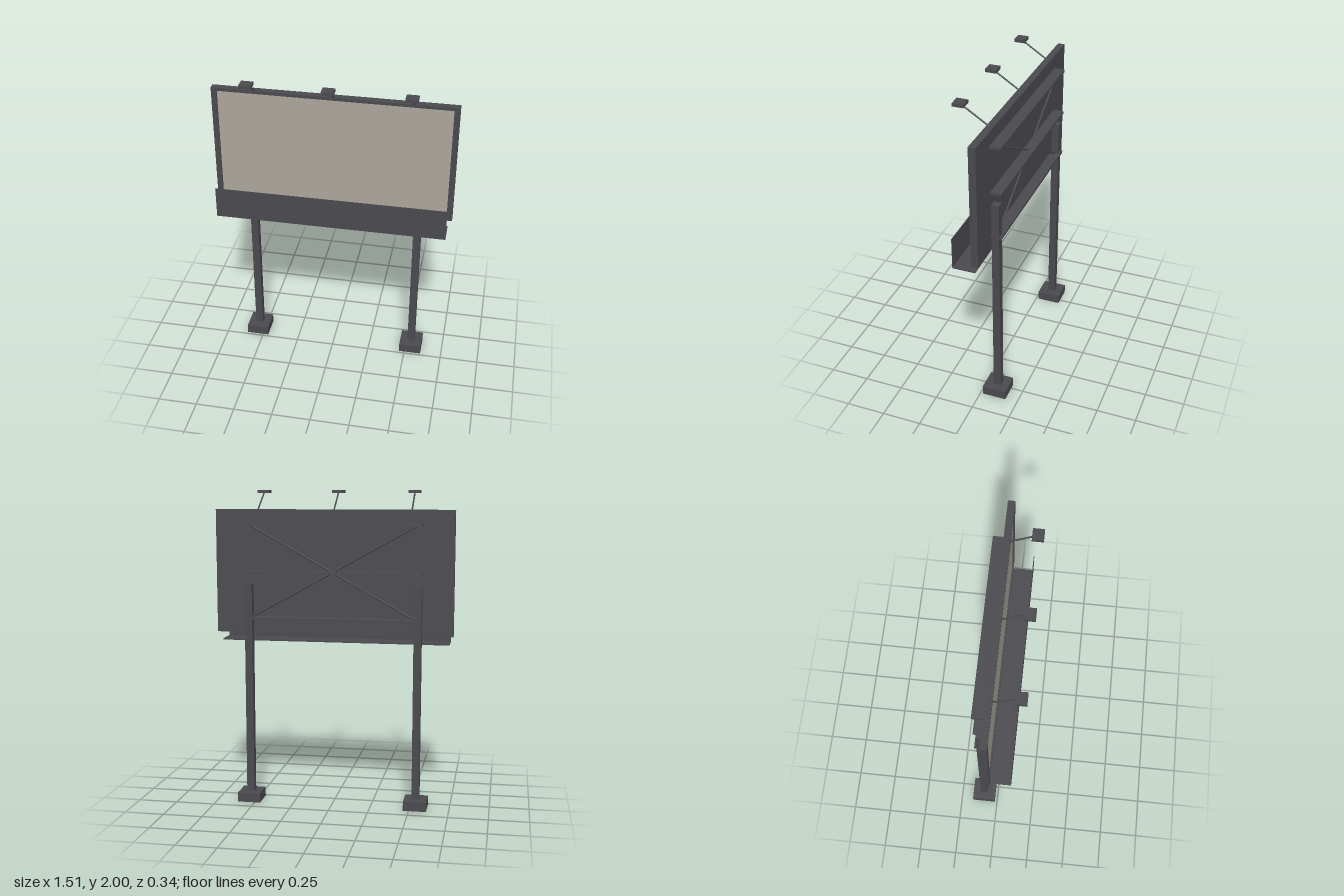
import * as THREE from 'three';

export function createModel() {
  const model = new THREE.Group();
  model.name = 'billboard';
  const steel = new THREE.MeshStandardMaterial({ color: 0x4a4a4f });
  steel.name = 'dark steel';
  const poster = new THREE.MeshStandardMaterial({ color: 0xaba69c });
  poster.name = 'blank poster';

  // Box given by its low and high limits on each axis
  function box(name, [x0, x1], [y0, y1], [z0, z1], material = steel) {
    const mesh = new THREE.Mesh(new THREE.BoxGeometry(x1 - x0, y1 - y0, z1 - z0), material);
    mesh.position.set((x0 + x1) / 2, (y0 + y1) / 2, (z0 + z1) / 2);
    mesh.name = name;
    model.add(mesh);
  }

  // Thin rod between two points
  function rod(name, a, b, radius) {
    const from = new THREE.Vector3(...a);
    const dir = new THREE.Vector3(...b).sub(from);
    const mesh = new THREE.Mesh(new THREE.CylinderGeometry(radius, radius, dir.length(), 8), steel);
    mesh.position.copy(from).addScaledVector(dir, 0.5);
    mesh.quaternion.setFromUnitVectors(new THREE.Vector3(0, 1, 0), dir.normalize());
    mesh.name = name;
    model.add(mesh);
  }

  // Board: backing, raised frame and slightly recessed poster
  box('boardBacking', [-0.755, 0.755], [1.10, 1.88], [-0.066, -0.04]);
  box('frameTop', [-0.755, 0.755], [1.86, 1.88], [-0.04, -0.022]);
  box('frameBottom', [-0.755, 0.755], [1.10, 1.12], [-0.04, -0.022]);
  for (const s of [-1, 1]) {
    const xs = [s * 0.72, s * 0.755].sort((a, b) => a - b);
    box('frameSide', xs, [1.12, 1.86], [-0.04, -0.022]);
  }
  box('posterPanel', [-0.72, 0.72], [1.12, 1.86], [-0.04, -0.032], poster);

  // Service walkway with its front apron
  box('walkwayDeck', [-0.73, 0.73], [1.042, 1.05], [-0.036, 0.108]);
  box('walkwayApron', [-0.73, 0.73], [1.042, 1.245], [0.104, 0.108]);

  // Posts on square footings
  for (const x of [-0.537, 0.537]) {
    box('post', [x - 0.024, x + 0.024], [0.06, 1.415], [-0.12, -0.073]);
    box('footing', [x - 0.073, x + 0.073], [0, 0.06], [-0.17, -0.016]);
  }

  // Rear rails and cross bracing
  for (const y of [1.197, 1.49, 1.786]) {
    box('rearRail', [-0.56, 0.56], [y - 0.008, y + 0.008], [-0.134, -0.062]);
  }
  for (const s of [-1, 1]) {
    rod('crossBrace', [-0.53 * s, 1.197, -0.097], [0.53 * s, 1.786, -0.097], 0.006);
  }

  // Lamps on slanted arms
  for (const x of [-0.487, 0, 0.487]) {
    rod('lampArm', [x, 1.876, -0.04], [x, 1.985, 0.13], 0.005);
    box('lampHead', [x - 0.037, x + 0.037], [1.98, 2.0], [0.099, 0.168]);
  }

  return model;
}
